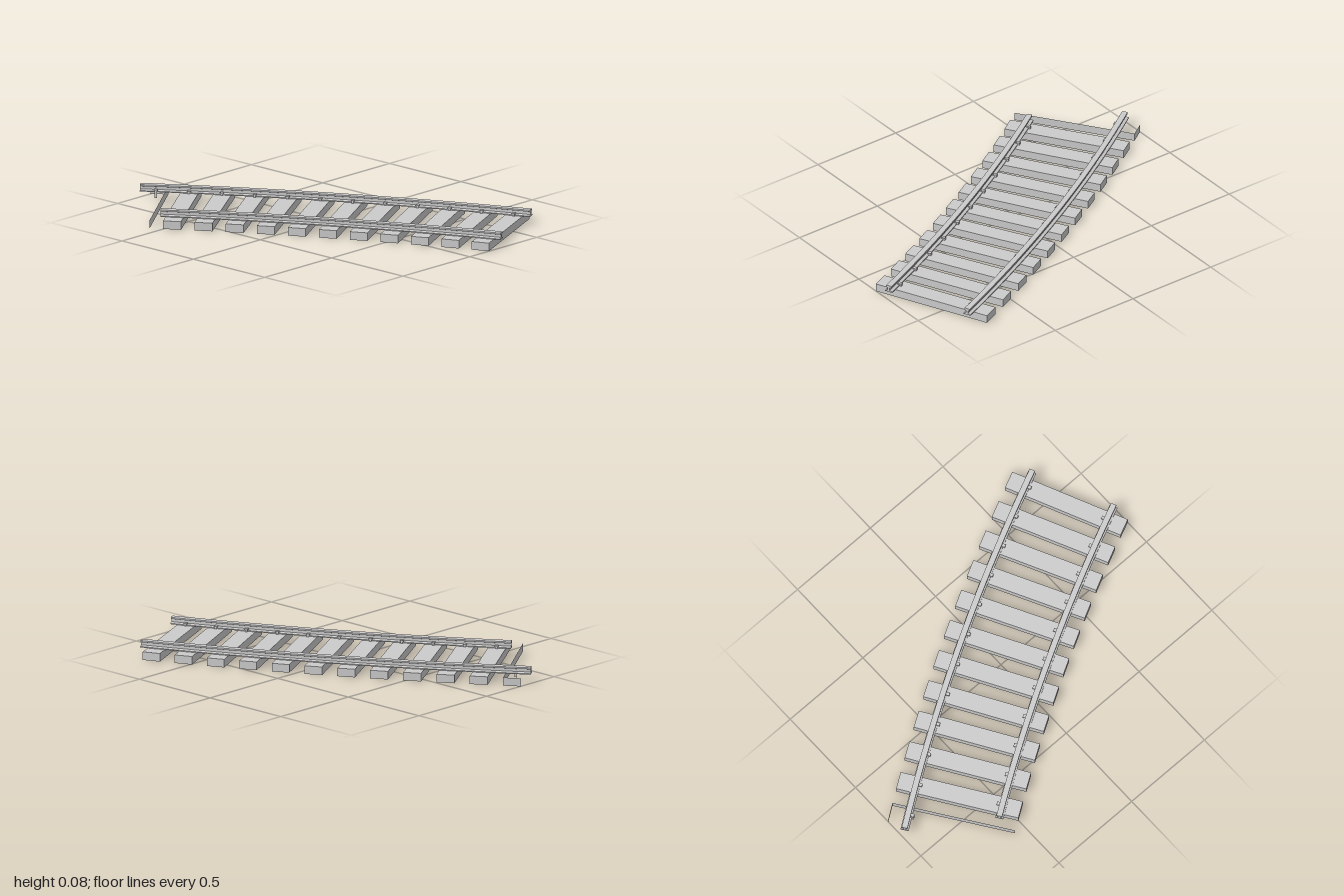
import * as THREE from 'three';

const R = 10.3;              // radius of the curve
const A0 = 0.507;            // heading at the middle of the track
const MID = [0.035, 0.069];  // x, z of the middle of the track
const PITCH = 0.168, GAUGE = 0.456;
const TIE = { length: 0.645, height: 0.043, width: 0.093 };

const mat = new THREE.MeshStandardMaterial({ color: 0xcccccc });
const thinMat = new THREE.MeshStandardMaterial({ color: 0xcccccc, side: THREE.DoubleSide });

// Track coordinates (u across, s along) to ground position and heading
function onTrack(u, s) {
  const a = A0 - s / R;
  return {
    a,
    x: MID[0] - R * Math.cos(A0) + (R + u) * Math.cos(a),
    z: MID[1] + R * Math.sin(A0) - (R + u) * Math.sin(a),
  };
}

function place(object, u, s, name) {
  const p = onTrack(u, s);
  object.position.set(p.x, 0, p.z);
  object.rotation.y = p.a;
  object.name = name;
  return object;
}

// I-section rail, extruded straight and then bent along the curve
function makeRail(u0, start, end, name) {
  const half = [
    [0.021, 0.043], [0.021, 0.048], [0.006, 0.053], [0.006, 0.067],
    [0.015, 0.070], [0.015, 0.078], [0.012, 0.080],
  ];
  const outline = [...half, ...half.slice().reverse().map(([x, y]) => [-x, y])];
  const shape = new THREE.Shape(outline.map(([x, y]) => new THREE.Vector2(x, y)));
  const geo = new THREE.ExtrudeGeometry(shape, { depth: end - start, steps: 22, bevelEnabled: false });
  const pos = geo.attributes.position;
  for (let i = 0; i < pos.count; i++) {
    const p = onTrack(u0 + pos.getX(i), start + pos.getZ(i));
    pos.setXYZ(i, p.x, pos.getY(i), p.z);
  }
  geo.computeVertexNormals();
  const rail = new THREE.Mesh(geo, mat);
  rail.name = name;
  return rail;
}

// Spike on the inner side of a rail, its head hooked over the rail foot
function makeSpike(side) {
  const spike = new THREE.Group();
  const shank = new THREE.Mesh(new THREE.BoxGeometry(0.01, 0.04, 0.012), mat);
  shank.position.set(-side * 0.026, 0.034, 0);
  shank.name = 'spikeShank';
  const head = new THREE.Mesh(new THREE.BoxGeometry(0.02, 0.006, 0.018), mat);
  head.position.set(-side * 0.021, 0.055, 0);
  head.name = 'spikeHead';
  spike.add(shank, head);
  return spike;
}

export function createModel() {
  const track = new THREE.Group();
  track.name = 'curvedTrack';

  // Sleepers
  const tieGeo = new THREE.BoxGeometry(TIE.length, TIE.height, TIE.width).translate(0, TIE.height / 2, 0);
  for (let i = -5; i <= 5; i++) {
    track.add(place(new THREE.Mesh(tieGeo, mat), 0, i * PITCH, 'sleeper'));
  }

  // Open sleeper at the far end: only its front side and one end
  const openTie = new THREE.Group();
  const side = new THREE.Mesh(new THREE.PlaneGeometry(TIE.length, TIE.height), thinMat);
  side.position.set(0, TIE.height / 2, TIE.width / 2);
  side.name = 'openSleeperSide';
  const cap = new THREE.Mesh(new THREE.PlaneGeometry(TIE.width, TIE.height), thinMat);
  cap.rotation.y = Math.PI / 2;
  cap.position.set(TIE.length / 2, TIE.height / 2, 0);
  cap.name = 'openSleeperEnd';
  openTie.add(side, cap);
  track.add(place(openTie, 0, -6 * PITCH, 'openSleeper'));

  // Rails; the outer one runs one sleeper further
  track.add(makeRail(-GAUGE / 2, -0.915, 0.924, 'innerRail'));
  track.add(makeRail(GAUGE / 2, -1.09, 0.924, 'outerRail'));

  // Spikes
  for (const s of [-1, 1]) {
    for (let i = s > 0 ? -6 : -5; i <= 5; i++) {
      track.add(place(makeSpike(s), s * GAUGE / 2, i * PITCH, 'spike'));
    }
  }

  // Centre on the ground
  const c = new THREE.Box3().setFromObject(track, true).getCenter(new THREE.Vector3());
  track.position.set(-c.x, 0, -c.z);
  const model = new THREE.Group();
  model.name = 'railwayTrack';
  model.add(track);
  return model;
}
